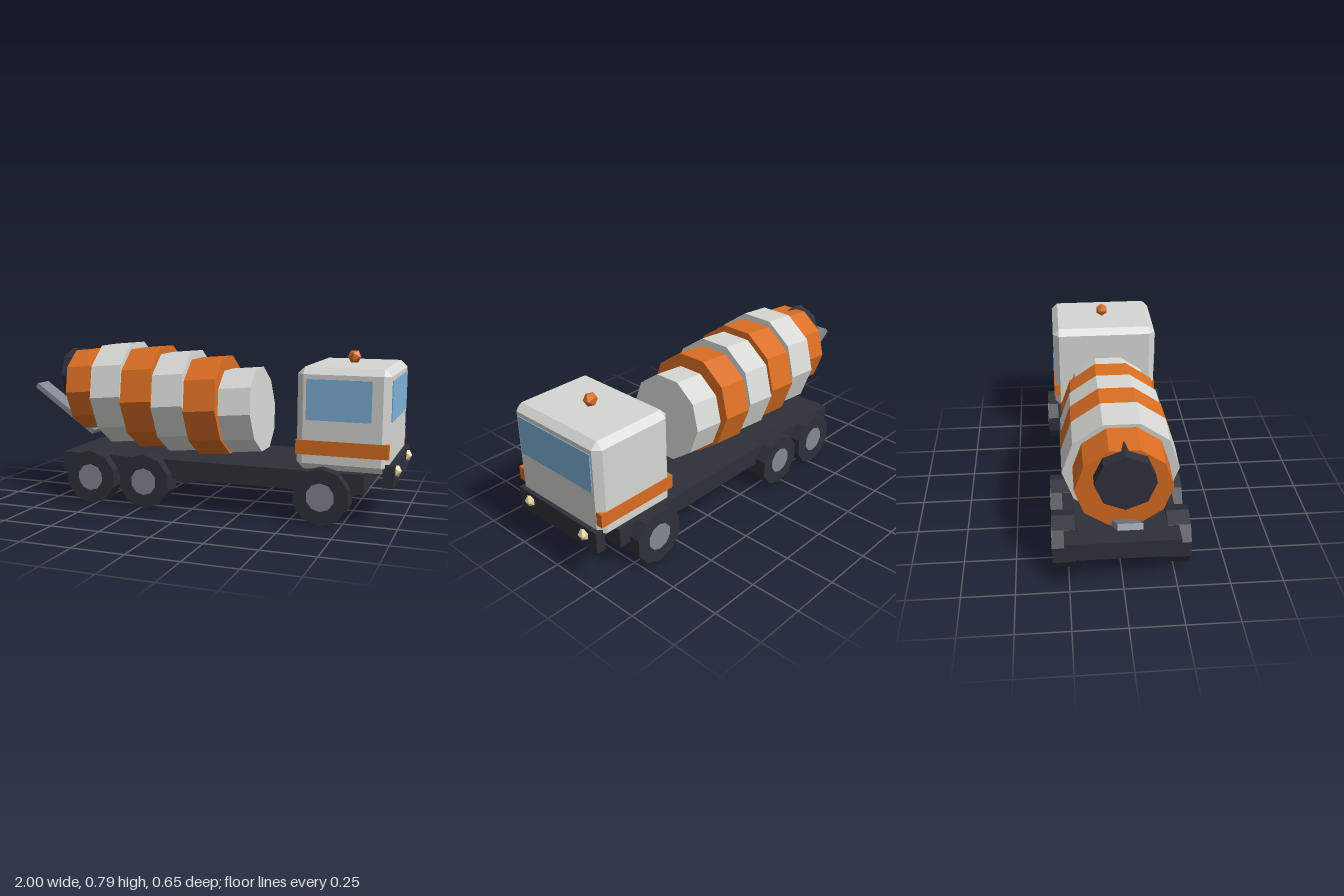
import * as THREE from 'three';
import { ConvexGeometry } from 'three/addons/geometries/ConvexGeometry.js';

const mat = (name, color) => {
  const m = new THREE.MeshStandardMaterial({ color, flatShading: true });
  m.name = name;
  return m;
};

// Box with single 45 degree chamfers on every edge
function chamferBox(w, h, d, c) {
  const pts = [];
  for (const sx of [-1, 1]) for (const sy of [-1, 1]) for (const sz of [-1, 1]) {
    for (let axis = 0; axis < 3; axis++) {
      const p = [w / 2 - c, h / 2 - c, d / 2 - c];
      p[axis] += c;
      pts.push(new THREE.Vector3(p[0] * sx, p[1] * sy, p[2] * sz));
    }
  }
  return new ConvexGeometry(pts);
}

export function createModel() {
  const truck = new THREE.Group();
  truck.name = 'mixerTruck';

  const white = mat('white', 0xd6d6d2);
  const orange = mat('orange', 0xd96d22);
  const dark = mat('darkGrey', 0x2f2f39);
  const grey = mat('steelGrey', 0x838893);
  const glass = mat('windowBlue', 0x7fb2d8);
  const lamp = mat('lampYellow', 0xe6d8a2);

  const add = (name, geometry, material, x, y, z, parent = truck) => {
    const mesh = new THREE.Mesh(geometry, material);
    mesh.name = name;
    mesh.position.set(x, y, z);
    parent.add(mesh);
    return mesh;
  };
  // Box given by its extents in x and y, and its half width in z
  const slab = (name, material, x0, x1, y0, y1, hz) =>
    add(name, new THREE.BoxGeometry(x1 - x0, y1 - y0, hz * 2), material, (x0 + x1) / 2, (y0 + y1) / 2, 0);

  // Chassis and bumper
  slab('chassis', dark, -0.71, 0.843, 0.15, 0.243, 0.268);
  slab('bumper', dark, 0.927, 0.976, 0.19, 0.297, 0.268);

  // Wheels with hubs showing on both faces
  const tyreGeo = new THREE.CylinderGeometry(0.135, 0.135, 0.108, 10).rotateX(Math.PI / 2);
  const hubGeo = new THREE.CylinderGeometry(0.067, 0.067, 0.113, 10).rotateX(Math.PI / 2);
  for (const x of [-0.523, -0.229, 0.656]) {
    for (const side of [-1, 1]) {
      const wheel = new THREE.Group();
      wheel.name = 'wheel';
      wheel.position.set(x, 0.135, side * 0.27);
      add('tyre', tyreGeo, dark, 0, 0, 0, wheel);
      add('hub', hubGeo, grey, 0, 0, 0, wheel);
      truck.add(wheel);
    }
  }

  // Cab, stripe and windows
  add('cab', chamferBox(0.428, 0.475, 0.564, 0.032), white, 0.74, 0.4875, 0);
  slab('cabStripe', orange, 0.527, 0.953, 0.323, 0.39, 0.285);
  slab('windshield', glass, 0.95, 0.958, 0.484, 0.672, 0.24);
  add('sideWindow', new THREE.BoxGeometry(0.299, 0.188, 0.008), glass, 0.7235, 0.578, 0.283);

  // Beacon and headlights
  add('beacon', new THREE.IcosahedronGeometry(0.034), orange, 0.737, 0.756, 0);
  for (const side of [-1, 1]) {
    add('headlight', new THREE.IcosahedronGeometry(0.031), lamp, 0.973, 0.257, side * 0.188);
  }

  // Mixer drum: tilted rings stepping down towards the cab
  const radii = [0.218, 0.267, 0.267, 0.262, 0.254, 0.216];
  radii.forEach((r, i) => {
    const geo = new THREE.CylinderGeometry(r, r, 0.167, 10).rotateZ(Math.PI / 2);
    const ring = add('drumRing', geo, i % 2 ? white : orange, -0.632 + i * 0.1665, 0.55 - i * 0.0153, 0);
    ring.rotation.z = 0.087;
  });

  // Drum mouth and discharge chute
  add('drumMouth', new THREE.CylinderGeometry(0.135, 0.135, 0.12, 8).rotateZ(Math.PI / 2), dark, -0.73, 0.621, 0);
  const chute = add('chute', new THREE.BoxGeometry(0.418, 0.027, 0.106), grey, -0.82, 0.433, 0);
  chute.rotation.z = -0.61;

  return truck;
}
